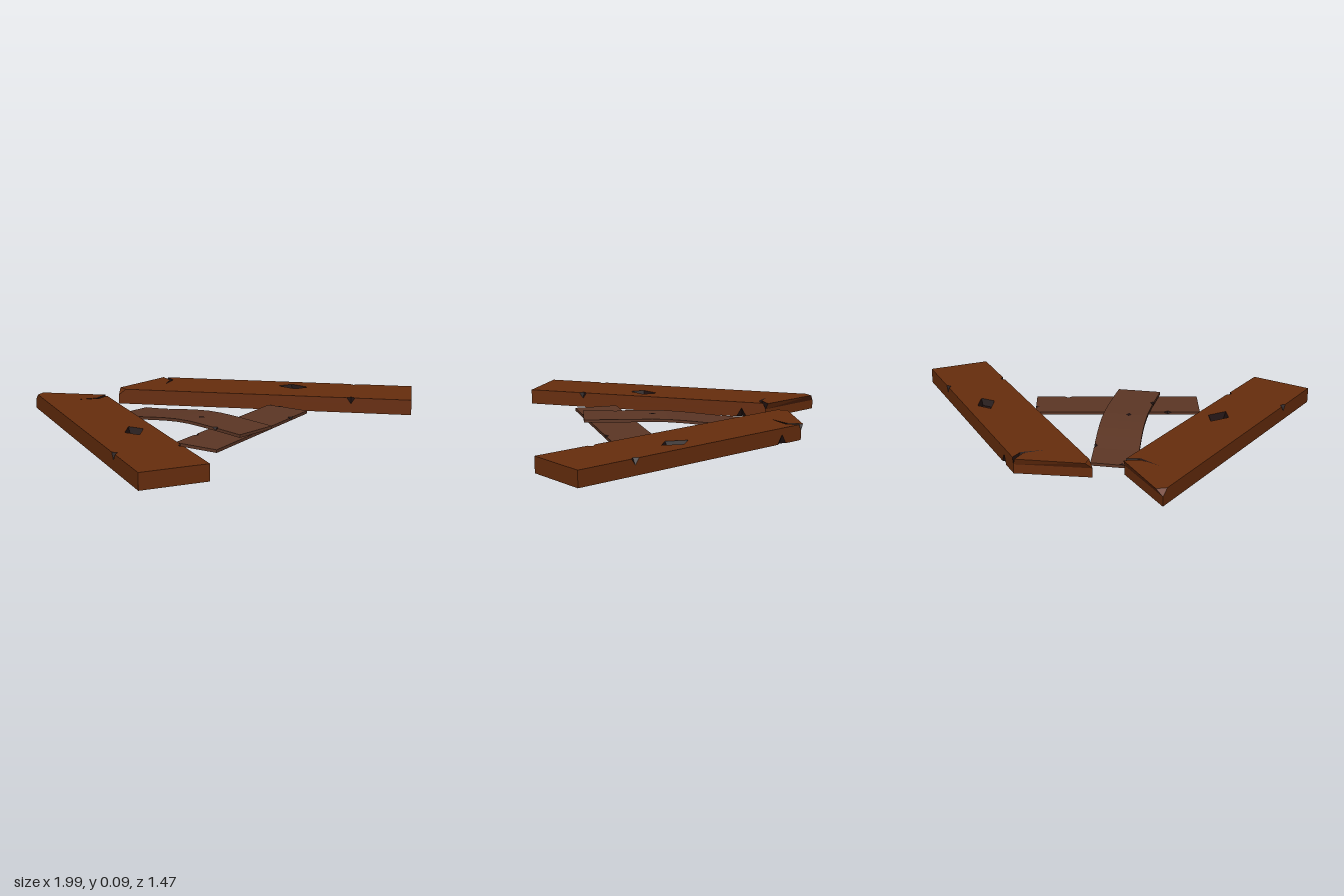
import * as THREE from 'three';

const material = (name, color) => {
  const m = new THREE.MeshStandardMaterial({ color });
  m.name = name;
  return m;
};

// Outline points carry an [x, z] position for the bottom (b), middle (m) and top (t) ring.
const plain = (x, z) => ({ b: [x, z], m: [x, z], t: [x, z] });

// A broken-out chip: the path is cut into one face and closes to a single apex at the middle ring.
const chip = (apex, path, face = 't', dark = true) => path.map((p, i) => ({
  b: face === 'b' ? p : apex,
  m: apex,
  t: face === 't' ? p : apex,
  dark: dark && i < path.length - 1 ? face : null,
}));

// A V-shaped chip on a long edge; dir is the direction of travel along z.
const edgeChip = (x, z, half, depth, dir, face) => chip([x, z],
  [[x, z - dir * half], [x - Math.sign(x) * depth, z], [x, z + dir * half]], face);

// Builds a solid from the outline (anticlockwise from above) at the three heights.
function loft(outline, [y0, y1, y2], { pit = null, strip = false, marks = [], bend = null } = {}) {
  const wood = [], dark = [];
  const n = outline.length;
  const put = (list, ...pts) => pts.forEach(([x, y, z]) => {
    list.push(...(bend ? bend(x, y, z) : [x, y, z]));
  });
  const quad = (list, a, b, c, d) => put(list, a, b, c, a, c, d);
  const at = (p, y) => [p[0], y, p[1]];

  // Sides
  outline.forEach((p, i) => {
    const q = outline[(i + 1) % n];
    quad(p.dark === 'b' ? dark : wood, at(p.b, y0), at(q.b, y0), at(q.m, y1), at(p.m, y1));
    quad(p.dark === 't' ? dark : wood, at(p.m, y1), at(q.m, y1), at(q.t, y2), at(p.t, y2));
  });

  // Top and bottom
  const cap = (key, y, hole, up) => {
    const ring = outline.map((p) => p[key]);
    const all = hole ? ring.concat(hole) : ring;
    let faces = [];
    if (strip) {
      for (let i = 0; i < n / 2 - 1; i++) {
        faces.push([i, i + 1, n - 2 - i], [i, n - 2 - i, n - 1 - i]);
      }
    } else {
      const flat = (list) => list.map((p) => new THREE.Vector2(p[0], -p[1]));
      faces = THREE.ShapeUtils.triangulateShape(flat(ring), hole ? [flat(hole)] : []);
    }
    faces.forEach(([a, b, c]) => {
      const [A, B, C] = [a, b, c].map((k) => all[k]);
      const area = (B[0] - A[0]) * (A[1] - C[1]) - (A[1] - B[1]) * (C[0] - A[0]);
      if (Math.abs(area) < 1e-10) return;
      const tri = (area > 0) === up ? [A, B, C] : [A, C, B];
      put(wood, ...tri.map((p) => at(p, y)));
    });
  };
  cap('t', y2, pit, true);
  cap('b', y0, null, false);

  // Knot hole with sloping walls and a floor
  if (pit) {
    const cx = pit.reduce((s, p) => s + p[0], 0) / pit.length;
    const cz = pit.reduce((s, p) => s + p[1], 0) / pit.length;
    const floor = pit.map(([x, z]) => [cx + (x - cx) * 0.7, cz + (z - cz) * 0.7]);
    const fy = y2 - 0.03;
    pit.forEach((p, i) => {
      const j = (i + 1) % pit.length;
      quad(dark, at(floor[i], fy), at(floor[j], fy), at(pit[j], y2), at(p, y2));
    });
    quad(dark, ...[...floor].reverse().map((p) => at(p, fy)));
  }

  // Small dark marks lying on the top face
  marks.forEach((m) => {
    for (let i = 1; i < m.length - 1; i++) {
      put(dark, ...[m[0], m[i], m[i + 1]].map((p) => at(p, y2 + 0.0015)));
    }
  });

  const g = new THREE.BufferGeometry();
  g.setAttribute('position', new THREE.Float32BufferAttribute(wood.concat(dark), 3));
  g.addGroup(0, wood.length / 3, 0);
  g.addGroup(wood.length / 3, dark.length / 3, 1);
  g.computeVertexNormals();
  return g;
}

// Thick plank with chipped edges, a crack and a knot hole
function largePlank() {
  const w = 0.1535, l = 0.732, c = 0.036;
  const outline = [
    ...chip([-w, -l], [[-w + c, -l], [-w, -l + c]], 't', false),
    ...edgeChip(-w, 0.438, 0.02, 0.018, 1, 't'),
    plain(-w, l),
    plain(w, l),
    ...edgeChip(w, 0.438, 0.02, 0.018, -1, 't'),
    ...edgeChip(w, -0.424, 0.026, 0.018, -1, 'b'),
    ...chip([w, -0.549], [[w, -0.537], [0.1, -0.5], [-0.006, -0.521], [0.093, -0.514], [w, -0.562]]),
  ];
  const pit = [[0.05, 0.06], [0.097, 0.122], [0.048, 0.21], [0, 0.15]];
  return loft(outline, [0.015, 0.06, 0.09], { pit });
}

// Thin board, optionally warped along its length
function smallBoard(bend) {
  const w = 0.108, l = 0.411, h = 0.02;
  const rows = [-l, -0.34, -0.25 - h, -0.25, -0.25 + h, -0.16, -0.08, 0, 0.08, 0.16,
    0.25 - h, 0.25, 0.25 + h, 0.34, l];
  const side = (x, list, chipZ, dir) => list.flatMap((z) => {
    const d = Math.abs(z - chipZ);
    if (d < 1e-6) return edgeChip(x, chipZ, h, 0.016, dir, 't');
    return d < h + 1e-6 ? [] : [plain(x, z)];
  });
  const outline = [
    ...side(-w, rows, 0.25, 1),
    ...side(w, [...rows].reverse(), -0.25, -1),
  ];
  const marks = [
    [[-0.018, 0.052], [-0.032, 0.07], [-0.018, 0.092], [-0.004, 0.072]],
    [[-0.052, -l], [-0.04, -l + 0.018], [-0.024, -l]],
  ];
  return loft(outline, [0, 0.004, 0.014], { strip: true, marks, bend });
}

// Rises from the ground at the back and sways a little sideways
const warp = (x, y, z) => [
  x + 0.018 * Math.cos((z - 0.08) * 4.5) - 0.006,
  y + 0.057 * THREE.MathUtils.smoothstep(z, -0.5, 0.1),
  z,
];

export function createModel() {
  const model = new THREE.Group();
  model.name = 'brokenPlanks';
  const plankWood = material('plank wood', 0x672d0d);
  const boardWood = material('board wood', 0x5c3625);
  const darkWood = material('dark wood', 0x1f1110);

  const add = (name, geometry, wood, x, y, z, angle) => {
    const mesh = new THREE.Mesh(geometry, [wood, darkWood]);
    mesh.name = name;
    mesh.position.set(x, y, z);
    mesh.rotation.y = angle;
    model.add(mesh);
  };

  const plank = largePlank();
  add('rightPlank', plank, plankWood, -0.578, 0, -0.004, -0.393);
  add('leftPlank', plank, plankWood, 0.452, 0, 0.005, 0.605);
  add('lowerBoard', smallBoard(null), boardWood, -0.055, 0.03, 0.318, -1.376);
  add('warpedBoard', smallBoard(warp), boardWood, -0.14, -0.003, 0.058, 0);
  return model;
}
